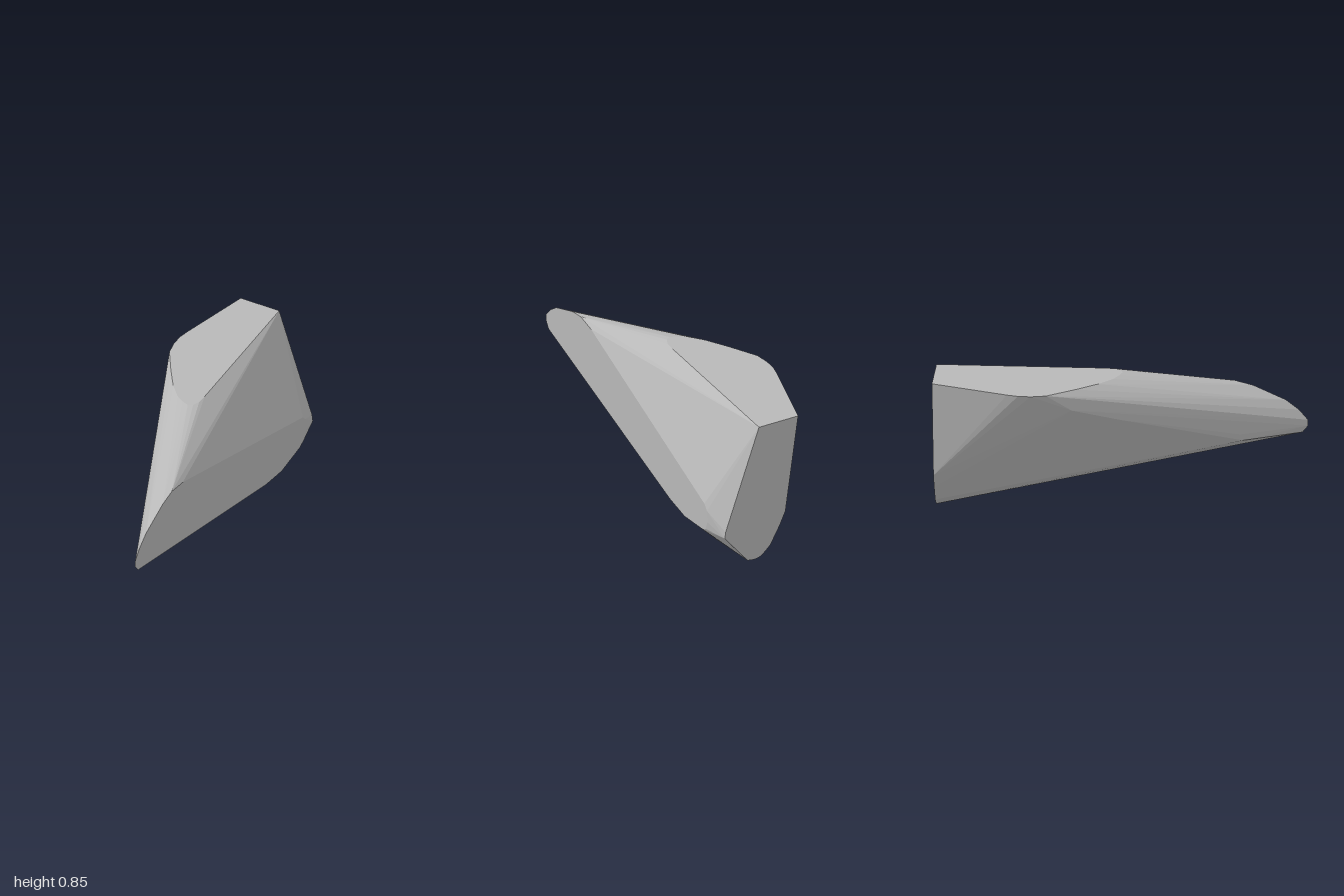
import * as THREE from 'three';
import { ConvexGeometry } from 'three/addons/geometries/ConvexGeometry.js';

const TOP = 0.848, SIDE = 0.295, BACK = -1;

// Flat top, as [x, z]
const topOutline = [
  [-0.19, BACK], [0.05, BACK], [0.1, -0.1], [0.1, -0.04], [0.085, 0], [0.06, 0.015],
  [0.02, 0], [-0.03, -0.03], [-0.1, -0.105], [-0.18, -0.22], [-0.275, -0.37],
  [-0.293, -0.45], [-0.295, -0.52], [-0.285, -0.58],
];

// Flat left side, as [z, y]
const sideOutline = [
  [1, 0.495], [1, 0.46], [0.97, 0.42], [-0.43, 0.13], [-0.6, 0.115], [-0.8, 0.15],
  [-0.845, 0.175], [-0.865, 0.23], [-0.86, 0.3], [-0.83, 0.33], [0.48, 0.702],
  [0.6, 0.714], [0.7, 0.69], [0.88, 0.61], [0.95, 0.555],
];

// Flat back, as [x, y]
const backOutline = [
  [-0.19, TOP], [0.05, TOP], [0.255, 0.23], [0.26, 0.19], [0.12, 0.006], [0.08, 0],
  [0.05, 0.005], [0.03, 0.015], [0, 0.045], [-0.02, 0.065], [-0.075, 0.17], [-0.112, 0.255],
];

// Corners where the rounded edges meet, as [x, y, z]
const corners = [
  [0.16, 0.42, 0.66], [0.15, 0.46, 0.645], [-0.11, 0.642, 0.025],
  [-0.22, 0.74, -0.235], [0.21, 0.05, -0.76],
];

export function createModel() {
  const group = new THREE.Group();
  group.name = 'wedge';

  const stone = new THREE.MeshStandardMaterial({ color: 0xb8b8b8 });
  stone.name = 'stone grey';

  const points = [
    ...topOutline.map(([x, z]) => new THREE.Vector3(x, TOP, z)),
    ...sideOutline.map(([z, y]) => new THREE.Vector3(SIDE, y, z)),
    ...backOutline.map(([x, y]) => new THREE.Vector3(x, y, BACK)),
    ...corners.map((c) => new THREE.Vector3(...c)),
  ];

  // Faceted body stretched over the three flat faces
  const body = new THREE.Mesh(new ConvexGeometry(points), stone);
  body.name = 'body';
  group.add(body);
  return group;
}
